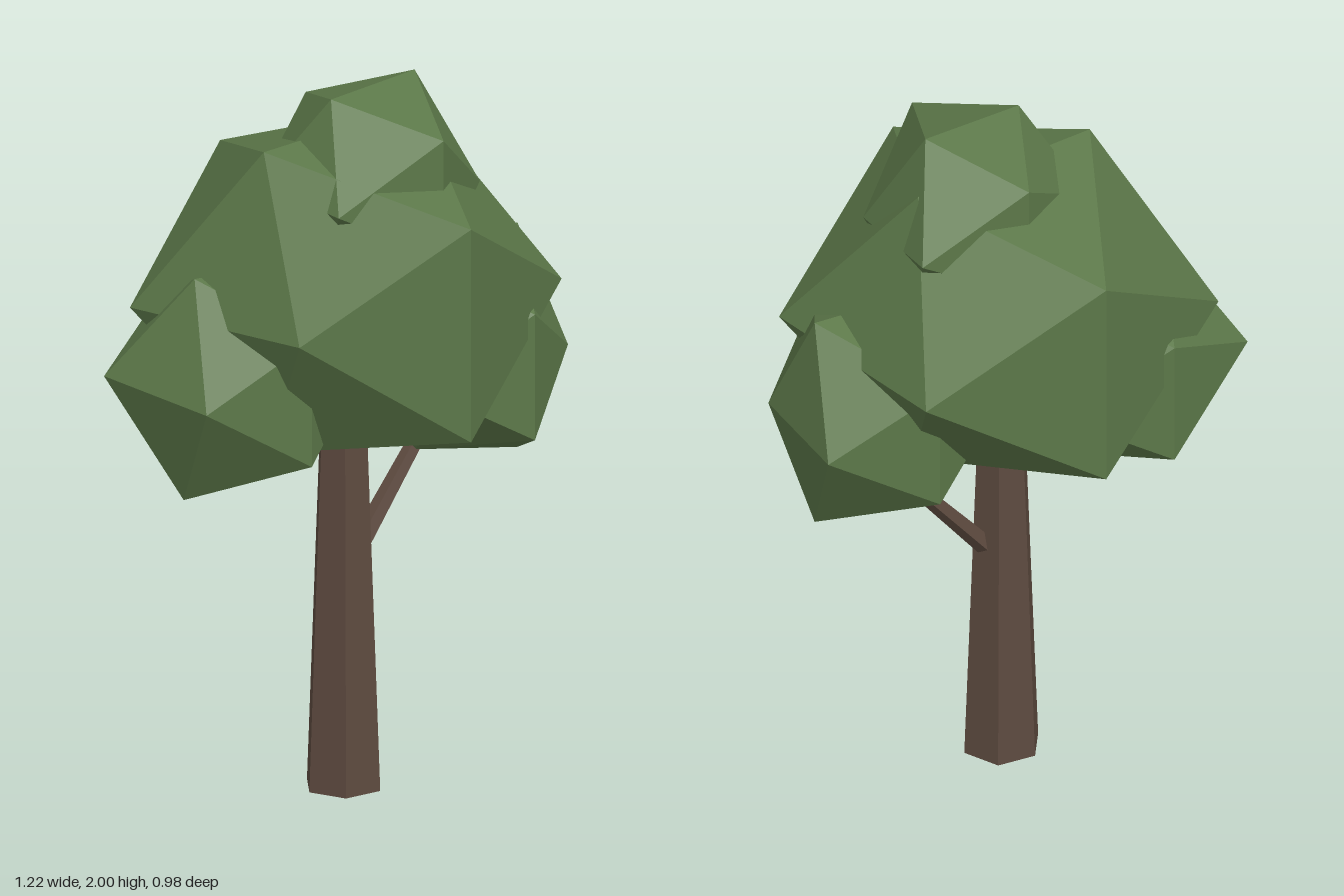
import * as THREE from 'three';

const leafGreen = new THREE.MeshStandardMaterial({ color: 0x5c7849 });
const barkBrown = new THREE.MeshStandardMaterial({ color: 0x5d4a3f });
leafGreen.name = 'leafGreen';
barkBrown.name = 'barkBrown';
leafGreen.flatShading = barkBrown.flatShading = true;

// Each icosahedron corner is identified by the signs of its coordinates, e.g. '-+0'
const signKey = (v) =>
  v.toArray().map((c) => (Math.abs(c) < 0.01 ? '0' : c > 0 ? '+' : '-')).join('');

// Foliage clump: an icosahedron with some corners nudged out of place
function clump(name, center, radius, nudges) {
  const geo = new THREE.IcosahedronGeometry(1, 0);
  const pos = geo.attributes.position;
  const v = new THREE.Vector3();
  for (let i = 0; i < pos.count; i++) {
    v.fromBufferAttribute(pos, i);
    const nudge = nudges[signKey(v)] || [0, 0, 0];
    v.multiplyScalar(radius).add(new THREE.Vector3(...nudge));
    pos.setXYZ(i, v.x, v.y, v.z);
  }
  geo.computeVertexNormals();
  const mesh = new THREE.Mesh(geo, leafGreen);
  mesh.name = name;
  mesh.position.set(...center);
  return mesh;
}

// Tapered faceted limb between two points
function limb(name, from, to, r0, r1, sides, twist) {
  const a = new THREE.Vector3(...from);
  const b = new THREE.Vector3(...to);
  const geo = new THREE.CylinderGeometry(r1, r0, a.distanceTo(b), sides);
  geo.rotateY(twist);
  const mesh = new THREE.Mesh(geo, barkBrown);
  mesh.name = name;
  mesh.position.copy(a).lerp(b, 0.5);
  mesh.quaternion.setFromUnitVectors(new THREE.Vector3(0, 1, 0), b.sub(a).normalize());
  return mesh;
}

export function createModel() {
  const tree = new THREE.Group();
  tree.name = 'tree';

  // Trunk and side branch
  tree.add(limb('trunk', [-0.018, 0, -0.01], [-0.018, 1.01, -0.01], 0.11, 0.071, 6, 0.35));
  tree.add(limb('branch', [0.03, 0.655, -0.012], [0.33, 1.01, -0.012], 0.03, 0.02, 5, 0.3));

  // Main crown, flattened underneath
  tree.add(clump('mainCrown', [-0.02, 1.41, 0], 0.577, {
    '-+0': [0.02, -0.03, -0.02], '++0': [-0.02, -0.03, -0.02],
    '--0': [0.02, 0.1, 0], '+-0': [-0.02, 0.1, 0],
    '+0-': [-0.03, -0.01, 0], '+0+': [0.02, -0.01, 0],
    '-0-': [0, -0.01, -0.02], '-0+': [0.11, -0.01, -0.08],
  }));

  // Top clump
  tree.add(clump('topCrown', [0.04, 1.74, 0.05], 0.317, {
    '-+0': [0.015, -0.02, -0.01], '++0': [-0.01, -0.01, -0.01],
    '+0-': [0.03, 0, -0.03], '+0+': [-0.02, -0.04, -0.02], '-0+': [-0.02, -0.01, 0],
  }));

  // Side clumps
  tree.add(clump('leftCrown', [0.32, 1.18, 0.09], 0.341, {
    '++0': [0.02, 0.03, 0.01], '+-0': [0.02, -0.03, 0.01],
    '+0+': [-0.045, 0, -0.02], '--0': [0.015, 0.05, 0],
  }));
  tree.add(clump('rightCrown', [-0.3, 1.2, -0.125], 0.341, {
    '-+0': [0.02, 0.03, 0], '--0': [-0.02, -0.01, 0], '+-0': [0, 0.05, 0],
    '-0-': [-0.02, 0.03, -0.015], '-0+': [0.02, 0, -0.015],
  }));

  return tree;
}
